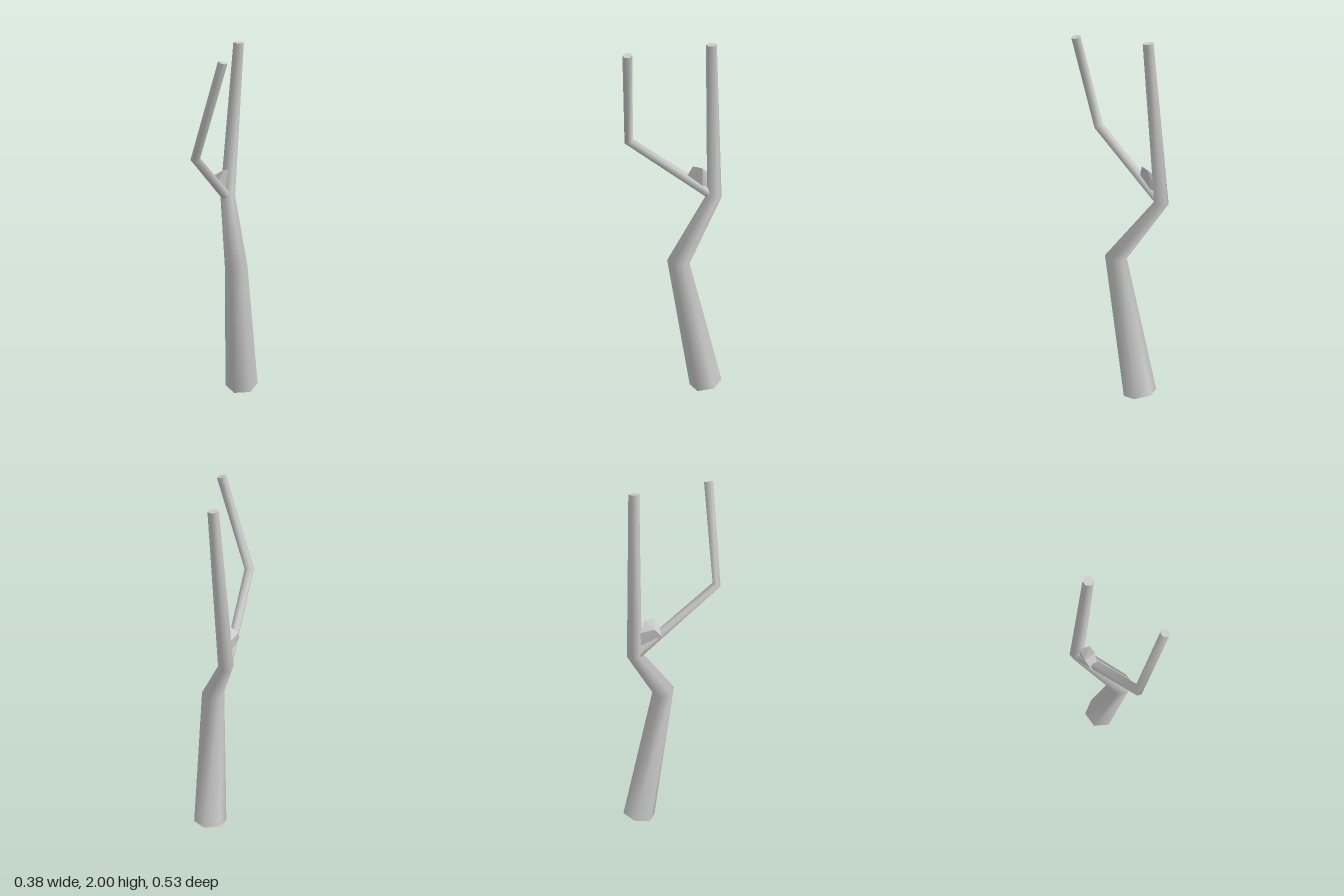
import * as THREE from 'three';
import { ConvexGeometry } from 'three/addons/geometries/ConvexGeometry.js';

const SIDES = 6;
const V = (p) => new THREE.Vector3(p[0], p[1], p[2]);

// Tapered six-sided limb through [x, y, z, radius] stations, mitred at each bend
function limbGeometry(stations, phase) {
  const centres = stations.map(V);
  const positions = [];
  const index = [];
  const last = stations.length - 1;

  const rings = centres.map((c, i) => {
    const tangent = new THREE.Vector3();
    if (i > 0) tangent.add(c.clone().sub(centres[i - 1]).normalize());
    if (i < last) tangent.add(centres[i + 1].clone().sub(c).normalize());
    tangent.normalize();
    const across = new THREE.Vector3(1, 0, 0).addScaledVector(tangent, -tangent.x).normalize();
    const forward = across.clone().cross(tangent);
    return Array.from({ length: SIDES }, (_, k) => {
      const a = phase + (k / SIDES) * Math.PI * 2;
      return c.clone()
        .addScaledVector(across, Math.cos(a) * stations[i][3])
        .addScaledVector(forward, Math.sin(a) * stations[i][3]);
    });
  });

  // Smooth sides
  rings.forEach((ring) => ring.forEach((p) => positions.push(p.x, p.y, p.z)));
  for (let i = 0; i < last; i++) {
    for (let k = 0; k < SIDES; k++) {
      const n = (k + 1) % SIDES;
      const a = i * SIDES + k, b = i * SIDES + n;
      const c = a + SIDES, d = b + SIDES;
      index.push(a, c, b, b, c, d);
    }
  }

  // Flat end caps with their own vertices
  [[0, false], [last, true]].forEach(([i, flip]) => {
    const start = positions.length / 3;
    rings[i].forEach((p) => positions.push(p.x, p.y, p.z));
    for (let k = 1; k < SIDES - 1; k++) {
      if (flip) index.push(start, start + k + 1, start + k);
      else index.push(start, start + k, start + k + 1);
    }
  });

  const geometry = new THREE.BufferGeometry();
  geometry.setAttribute('position', new THREE.Float32BufferAttribute(positions, 3));
  geometry.setIndex(index);
  geometry.computeVertexNormals();
  return geometry;
}

export function createModel() {
  const group = new THREE.Group();
  group.name = 'bareTree';
  const material = new THREE.MeshStandardMaterial({ color: 0xcccccc });
  const add = (name, geometry) => {
    const mesh = new THREE.Mesh(geometry, material);
    mesh.name = name;
    group.add(mesh);
  };

  // Crooked trunk, from the ground to the tallest tip
  add('trunk', limbGeometry([
    [-0.034, 0.016, -0.18, 0.093],
    [0.048, 0.8, -0.04, 0.062],
    [-0.15, 1.13, -0.187, 0.041],
    [-0.067, 1.998, -0.181, 0.028],
  ], 0.28));

  // Side branch leaning forward, then turning upward
  add('sideBranch', limbGeometry([
    [-0.15, 1.13, -0.175, 0.027],
    [0.018, 1.46, 0.243, 0.026],
    [0.167, 1.977, 0.195, 0.025],
  ], 0.15));

  // Broken stub in the fork, cut square to the side branch
  add('brokenStub', new ConvexGeometry([
    [-0.085, 1.312, -0.083], [-0.145, 1.275, -0.08],
    [-0.125, 1.22, -0.035], [-0.092, 1.225, -0.035],
    [-0.095, 1.302, -0.132], [-0.148, 1.255, -0.155],
    [-0.143, 1.16, -0.15], [-0.115, 1.18, -0.13],
  ].map(V)));

  return group;
}
